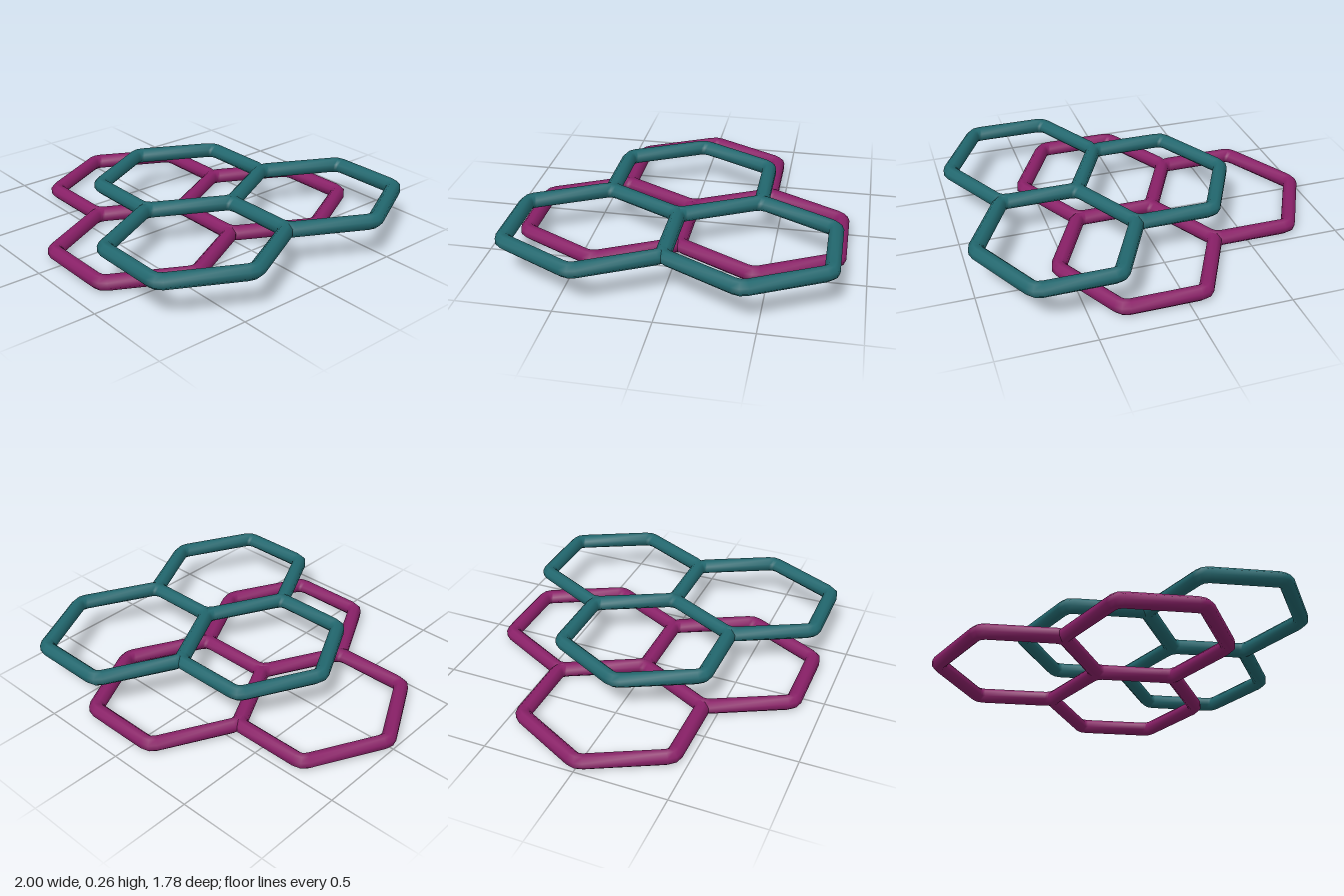
import * as THREE from 'three';

const SIDES = 8;
const RADIUS = 0.038 / Math.cos(Math.PI / SIDES); // flat-to-flat half height 0.038
const CUT = 0.035; // how far the corner rounding reaches along each edge

// Closed hexagon centreline in the XZ plane with softly rounded corners
function hexPath(a, b, h) {
  const corners = [[a, 0], [b, h], [-b, h], [-a, 0], [-b, -h], [b, -h]]
    .map(([x, z]) => new THREE.Vector2(x, z));
  const path = [];
  corners.forEach((p, i) => {
    const prev = corners[(i + 5) % 6], next = corners[(i + 1) % 6];
    const p0 = p.clone().add(prev.clone().sub(p).setLength(CUT));
    const p1 = p.clone().add(next.clone().sub(p).setLength(CUT));
    path.push(...new THREE.QuadraticBezierCurve(p0, p, p1).getPoints(2));
  });
  return path;
}

// Sweep an octagon round the path with mitred joints
function ringGeometry(path) {
  const n = path.length, positions = [], index = [];
  const outward = (p, q) => {
    const d = q.clone().sub(p).normalize();
    return new THREE.Vector2(d.y, -d.x);
  };
  for (let i = 0; i < n; i++) {
    const n1 = outward(path[(i + n - 1) % n], path[i]);
    const n2 = outward(path[i], path[(i + 1) % n]);
    const miter = n1.clone().add(n2).divideScalar(1 + n1.dot(n2));
    for (let j = 0; j < SIDES; j++) {
      const t = (j + 0.5) / SIDES * Math.PI * 2;
      const out = Math.cos(t) * RADIUS;
      positions.push(path[i].x + miter.x * out, Math.sin(t) * RADIUS, path[i].y + miter.y * out);
      const k = (j + 1) % SIDES, m = (i + 1) % n;
      const A = i * SIDES + j, B = m * SIDES + j, C = i * SIDES + k, D = m * SIDES + k;
      index.push(A, C, B, B, C, D);
    }
  }
  const g = new THREE.BufferGeometry();
  g.setAttribute('position', new THREE.Float32BufferAttribute(positions, 3));
  g.setIndex(index);
  g.computeVertexNormals();
  return g;
}

// Three hexagons meeting at one node
function honeycombLayer(name, material, { a, b, h, x, y }) {
  const layer = new THREE.Group();
  layer.name = name;
  const geometry = ringGeometry(hexPath(a, b, h));
  const cells = [['leftCell', x, 0], ['backCell', x + a + b, -h], ['frontCell', x + a + b, h]];
  for (const [cell, cx, cz] of cells) {
    const mesh = new THREE.Mesh(geometry, material);
    mesh.name = cell;
    mesh.position.set(cx, y, cz);
    layer.add(mesh);
  }
  return layer;
}

export function createModel() {
  const purple = new THREE.MeshStandardMaterial({ color: 0x8a2068 });
  purple.name = 'purple';
  const teal = new THREE.MeshStandardMaterial({ color: 0x22686f });
  teal.name = 'teal';

  const model = new THREE.Group();
  model.name = 'layeredHoneycomb';
  model.add(
    honeycombLayer('lowerLayer', purple, { a: 0.435, b: 0.215, h: 0.425, x: -0.53, y: 0.038 }),
    honeycombLayer('upperLayer', teal, { a: 0.423, b: 0.21, h: 0.413, x: -0.088, y: 0.222 })
  );
  return model;
}
